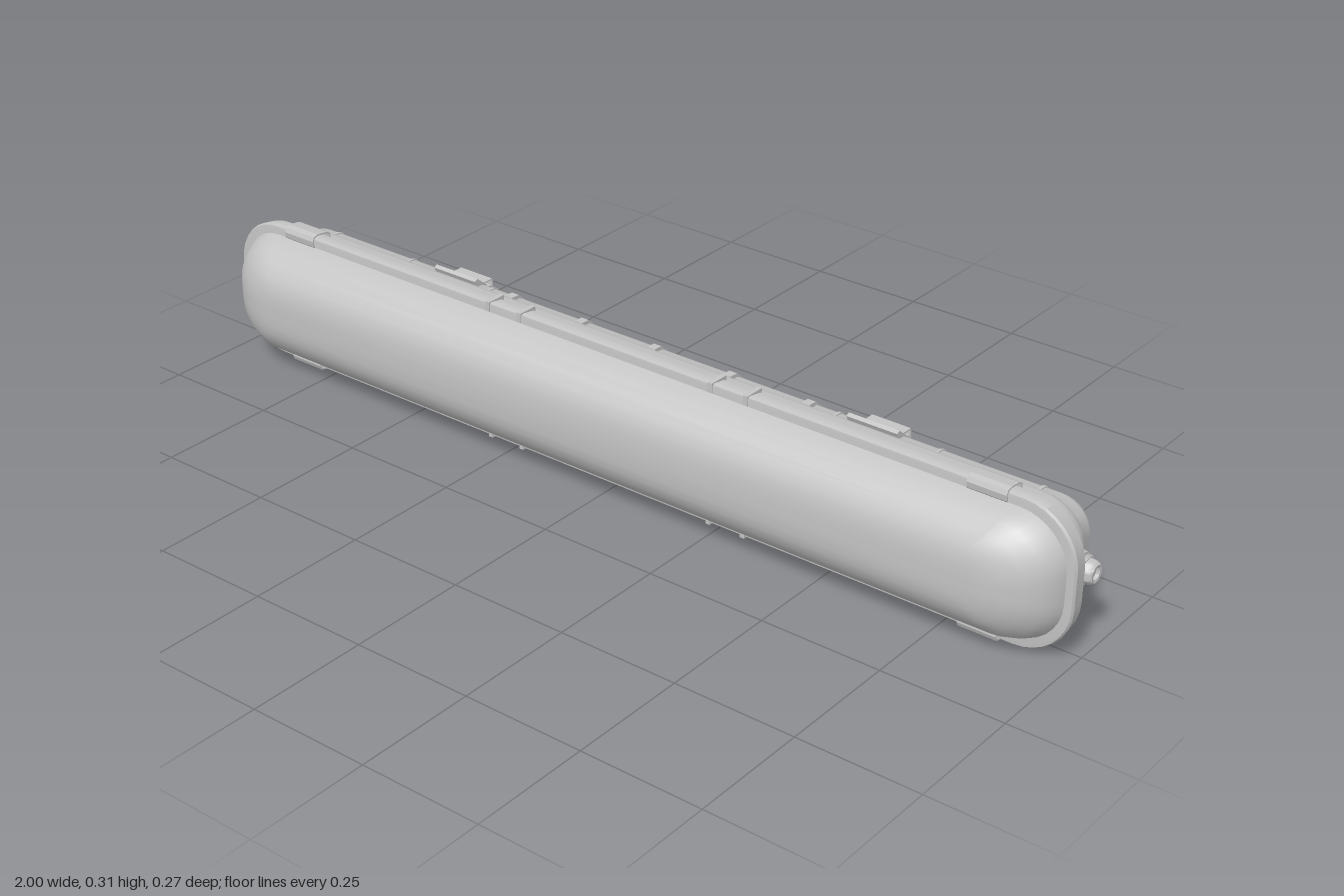
import * as THREE from 'three';
import { toCreasedNormals } from 'three/addons/utils/BufferGeometryUtils.js';

const grey = new THREE.MeshStandardMaterial({ color: 0xc4c4c4 });
grey.name = 'light grey plastic';

// Closed solid through rounded-rectangle sections [z, halfX, halfY, radius], back to front
function loft(sections, crease = 0.6) {
  const steps = 8, pos = [], idx = [];
  const n = 4 * (steps + 1);
  for (const [z, hx, hy, r] of sections) {
    for (let c = 0; c < 4; c++) {
      const sx = c === 0 || c === 3 ? 1 : -1, sy = c < 2 ? 1 : -1;
      for (let k = 0; k <= steps; k++) {
        const a = (c + k / steps) * Math.PI / 2;
        pos.push(sx * (hx - r) + r * Math.cos(a), sy * (hy - r) + r * Math.sin(a), z);
      }
    }
  }
  const last = sections.length - 1;
  for (let s = 0; s < last; s++) {
    for (let i = 0; i < n; i++) {
      const j = (i + 1) % n, a = s * n, b = a + n;
      idx.push(a + i, a + j, b + j, a + i, b + j, b + i);
    }
  }
  const back = pos.length / 3, front = back + 1;
  pos.push(0, 0, sections[0][0], 0, 0, sections[last][0]);
  for (let i = 0; i < n; i++) {
    const j = (i + 1) % n;
    idx.push(back, j, i, front, last * n + i, last * n + j);
  }
  const g = new THREE.BufferGeometry();
  g.setAttribute('position', new THREE.Float32BufferAttribute(pos, 3));
  g.setIndex(idx);
  return toCreasedNormals(g, crease);
}

// Outline of [z, y] points drawn out along x, centred on x = 0
function strip(points, width, flip = 1) {
  const shape = new THREE.Shape(points.map(([z, y]) => new THREE.Vector2(z, y * flip)));
  const g = new THREE.ExtrudeGeometry(shape, { depth: width, bevelEnabled: false });
  return g.rotateY(-Math.PI / 2).translate(width / 2, 0, 0);
}

export function createModel() {
  const model = new THREE.Group();
  const lamp = new THREE.Group();
  lamp.name = 'lamp';
  lamp.position.y = 0.155;
  model.add(lamp);
  const add = (name, geometry, x = 0, y = 0, z = 0) => {
    const mesh = new THREE.Mesh(geometry, grey);
    mesh.name = name;
    mesh.position.set(x, y, z);
    lamp.add(mesh);
    return mesh;
  };

  // Domed diffuser
  add('diffuser', loft([
    [0.03, 0.987, 0.132, 0.1], [0.05, 0.983, 0.128, 0.1], [0.07, 0.975, 0.121, 0.098],
    [0.09, 0.962, 0.112, 0.094], [0.11, 0.938, 0.093, 0.08], [0.126, 0.908, 0.074, 0.066],
    [0.134, 0.88, 0.054, 0.05], [0.138, 0.85, 0.035, 0.033],
  ]));

  // Sealing rim
  add('rim', loft([
    [0.011, 0.994, 0.139, 0.105], [0.014, 0.997, 0.142, 0.107],
    [0.044, 1, 0.147, 0.11], [0.049, 0.997, 0.145, 0.108], [0.05, 0.99, 0.138, 0.102],
  ]));

  // Stepped housing
  add('housing', loft([
    [-0.115, 0.915, 0.058, 0.045], [-0.112, 0.93, 0.068, 0.05], [-0.1, 0.942, 0.086, 0.06],
    [-0.09, 0.946, 0.091, 0.065], [-0.068, 0.948, 0.092, 0.068], [-0.062, 0.951, 0.095, 0.07],
    [-0.048, 0.96, 0.111, 0.085], [-0.04, 0.963, 0.116, 0.09], [-0.03, 0.965, 0.118, 0.09],
    [0.005, 0.967, 0.12, 0.092], [0.013, 0.975, 0.126, 0.098],
  ]));

  const clip = [[0.048, 0.124], [0.053, 0.13], [0.055, 0.142], [0.051, 0.151], [0.04, 0.154],
    [0.015, 0.151], [0.005, 0.146], [0.004, 0.134], [0.007, 0.134], [0.008, 0.144],
    [0.016, 0.148], [0.04, 0.151], [0.049, 0.148], [0.052, 0.141], [0.05, 0.131]];
  const flare = [[-0.068, 0.105], [-0.076, 0.109], [-0.104, 0.086], [-0.1, 0.08], [-0.076, 0.088]];
  const rib = [[-0.066, 0.09], [-0.068, 0.1], [-0.088, 0.099], [-0.11, 0.08], [-0.108, 0.07]];
  const seam = [[-0.066, 0.09], [-0.066, 0.094], [-0.09, 0.0935], [-0.1, 0.089], [-0.112, 0.071],
    [-0.11, 0.066], [-0.098, 0.084]];

  for (const side of [1, -1]) {
    for (const end of [1, -1]) {
      // Diffuser clips and stops on the rim
      add('rimClip', strip(clip, 0.08, side), end * 0.82);
      for (const x of [0.23, 0.31]) {
        add('rimStop', new THREE.BoxGeometry(0.01, 0.02, 0.044), end * x, side * 0.139, 0.03);
      }
      // Spring lips that grip the housing
      add('bracketLip', strip(flare, 0.11, side), end * 0.505);
      // Joint bands on the housing
      for (const x of [0.42, 0.64, 0.85]) add('jointBand', strip(seam, 0.006, side), end * x);
    }
    // Grip ribs
    for (let i = -2; i <= 2; i++) add('gripRib', strip(rib, 0.018, side), i * 0.18);
  }

  // Mounting brackets: thin channel with a thicker back plate
  const channel = [[-0.098, 0.085], [-0.134, 0.085], [-0.137, 0.082], [-0.137, -0.082],
    [-0.134, -0.085], [-0.098, -0.085], [-0.098, -0.082], [-0.133, -0.082],
    [-0.134, -0.08], [-0.134, 0.08], [-0.133, 0.082], [-0.098, 0.082]];
  for (const end of [1, -1]) {
    add('mountBracket', strip(channel, 0.084), end * 0.505);
    add('bracketPlate', new THREE.BoxGeometry(0.08, 0.14, 0.012), end * 0.505, 0, -0.13);
  }

  // Cable glands: collar, hexagonal nut and hollow cap
  const capProfile = [[0.012, 0.006], [0.012, 0.034], [0.017, 0.035], [0.021, 0.031],
    [0.023, 0.025], [0.023, 0]].map(([r, h]) => new THREE.Vector2(r, h)).reverse();
  for (const end of [1, -1]) {
    const turn = (g) => g.rotateZ(-end * Math.PI / 2);
    add('glandCollar', turn(new THREE.CylinderGeometry(0.031, 0.033, 0.016, 24)), end * 0.962, 0, -0.03);
    add('glandNut', turn(new THREE.CylinderGeometry(0.028, 0.028, 0.012, 6)), end * 0.974, 0, -0.03);
    add('glandCap', turn(toCreasedNormals(new THREE.LatheGeometry(capProfile, 24), 0.6)), end * 0.963, 0, -0.03);
    add('glandPlug', turn(new THREE.CylinderGeometry(0.0125, 0.0125, 0.02, 16)), end * 0.98, 0, -0.03);
  }
  return model;
}
